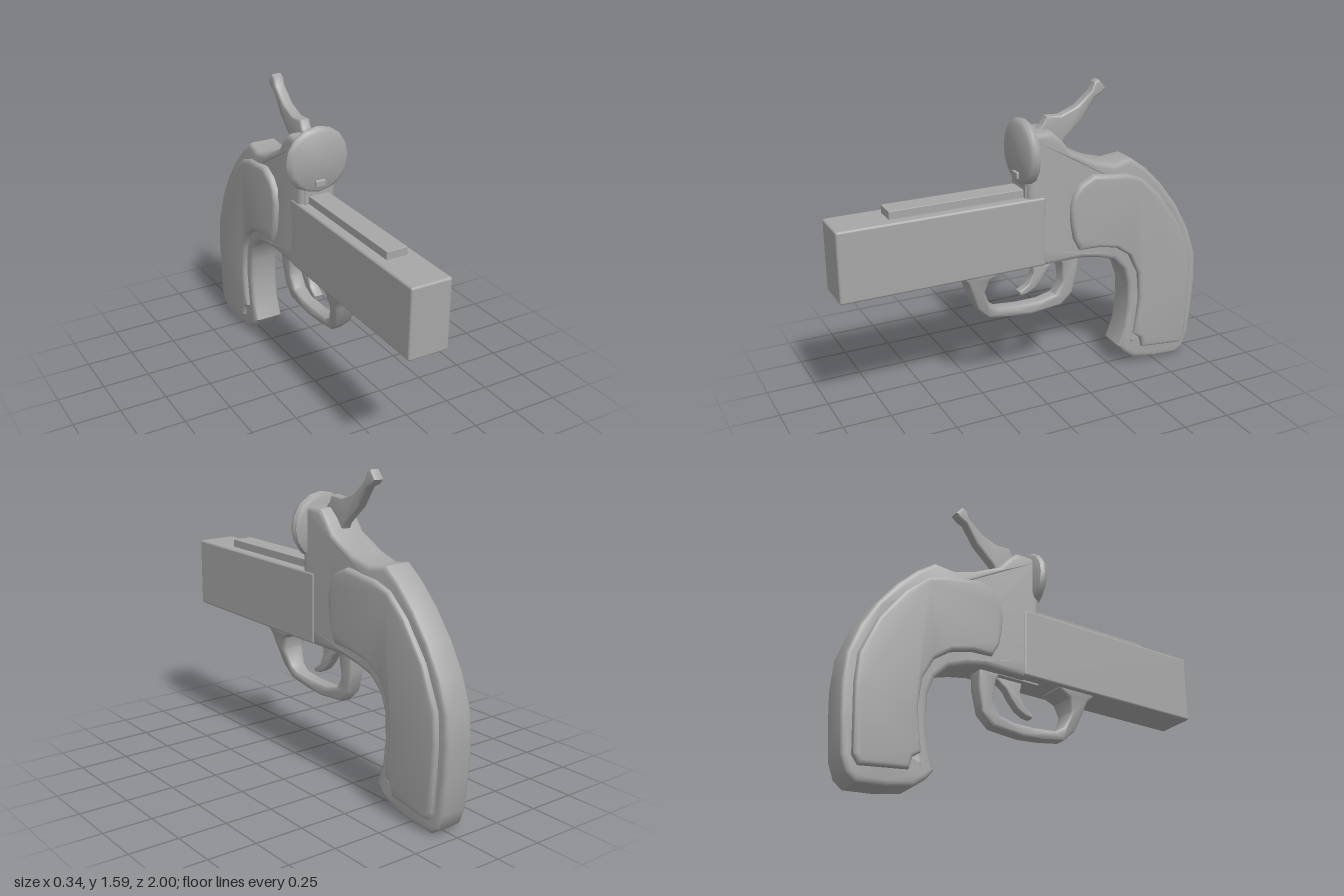
import * as THREE from 'three';
import { toCreasedNormals } from 'three/addons/utils/BufferGeometryUtils.js';
import { RoundedBoxGeometry } from 'three/addons/geometries/RoundedBoxGeometry.js';

const grey = new THREE.MeshStandardMaterial({ color: 0xa6a6a6 });
grey.name = 'grey metal';

const smooth = THREE.MathUtils.smoothstep;
const lerp = THREE.MathUtils.lerp;

// Extrudes a side profile of [z, y] points to a width along x, with rounded rims.
// halfWidth(z, y), if given, sets the local half width.
function profile(name, points, half, bevel, { hole, halfWidth, crease = 0.7 } = {}) {
  const shape = new THREE.Shape(points.map(([z, y]) => new THREE.Vector2(z, y)));
  if (hole) {
    const path = new THREE.Path();
    path.absarc(hole[0], hole[1], hole[2], 0, Math.PI * 2, true);
    shape.holes.push(path);
  }
  const depth = 2 * (half - bevel);
  const geo = new THREE.ExtrudeGeometry(shape, {
    depth, curveSegments: 8, bevelEnabled: true, bevelSize: bevel,
    bevelThickness: bevel, bevelOffset: -bevel, bevelSegments: 3,
  });
  geo.translate(0, 0, -depth / 2);
  geo.rotateY(-Math.PI / 2);
  if (halfWidth) {
    const p = geo.attributes.position;
    for (let i = 0; i < p.count; i++) {
      p.setX(i, p.getX(i) * halfWidth(p.getZ(i), p.getY(i)) / half);
    }
  }
  const mesh = new THREE.Mesh(toCreasedNormals(geo, crease), grey);
  mesh.name = name;
  return mesh;
}

function box(name, w, h, d, x, y, z, radius = 0.008) {
  const mesh = new THREE.Mesh(new RoundedBoxGeometry(w, h, d, 2, radius), grey);
  mesh.name = name;
  mesh.position.set(x, y, z);
  return mesh;
}

export function createModel() {
  const model = new THREE.Group();
  model.name = 'flarePistol';

  // Square barrel and the raised rib on it
  model.add(box('barrel', 0.21, 0.36, 1.06, 0, 0.885, 0.47, 0.012));
  model.add(box('barrelRib', 0.11, 0.06, 0.7, 0, 1.075, 0.38, 0.003));

  // Receiver and curved grip in one piece, narrower towards the back
  model.add(profile('frame', [
    [0.035, 1.14], [0.03, 1.0], [0.02, 0.87], [0.0, 0.78], [-0.04, 0.7],
    [-0.28, 0.7], [-0.38, 0.68], [-0.47, 0.65], [-0.54, 0.58], [-0.57, 0.49],
    [-0.575, 0.36], [-0.56, 0.23], [-0.525, 0.13], [-0.56, 0.085], [-0.62, 0.04],
    [-0.75, 0.015], [-0.9, 0.005], [-0.945, 0.04], [-0.975, 0.12], [-0.99, 0.3],
    [-0.997, 0.45], [-0.985, 0.6], [-0.93, 0.75], [-0.85, 0.89], [-0.75, 1.02],
    [-0.65, 1.12], [-0.56, 1.185], [-0.46, 1.17], [-0.35, 1.2], [-0.2, 1.275],
    [-0.15, 1.34], [-0.1, 1.385], [0.035, 1.385],
  ], 0.1, 0.025, {
    hole: [-0.6, 0.15, 0.03],
    halfWidth: (z) => lerp(0.1, 0.077, smooth(-z, 0.3, 0.65)),
  }));

  // Grip panels, both sides
  model.add(profile('gripPanels', [
    [-0.195, 0.985], [-0.2, 0.9], [-0.215, 0.82], [-0.25, 0.755], [-0.36, 0.75],
    [-0.47, 0.725], [-0.555, 0.665], [-0.615, 0.55], [-0.63, 0.4], [-0.615, 0.27],
    [-0.605, 0.195], [-0.645, 0.165], [-0.66, 0.107], [-0.9, 0.08], [-0.93, 0.12],
    [-0.945, 0.45], [-0.935, 0.6], [-0.85, 0.8], [-0.725, 0.975], [-0.61, 1.08],
    [-0.515, 1.115], [-0.325, 1.14], [-0.25, 1.105], [-0.21, 1.05],
  ], 0.125, 0.02, {
    halfWidth: (z) => lerp(0.125, 0.104, smooth(-z, 0.3, 0.65)),
  }));

  // Round shield at the breech
  const rim = [[0, -0.03], [0.14, -0.03], [0.162, -0.02], [0.17, 0], [0.162, 0.018], [0.145, 0.028], [0, 0.03]];
  const discGeo = new THREE.LatheGeometry(rim.map(([r, y]) => new THREE.Vector2(r, y)), 16);
  discGeo.rotateX(Math.PI / 2);
  const disc = new THREE.Mesh(toCreasedNormals(discGeo.toNonIndexed(), 0.7), grey);
  disc.name = 'breechDisc';
  disc.position.set(0, 1.278, 0.02);
  model.add(disc);
  model.add(box('discCatch', 0.055, 0.035, 0.03, 0, 1.167, 0.047, 0.005));
  model.add(box('breechNeck', 0.16, 0.12, 0.05, 0, 1.12, 0.015, 0.01));

  // Hammer with its thumb spur
  model.add(profile('hammer', [
    [-0.06, 1.385], [-0.085, 1.41], [-0.1, 1.445], [-0.18, 1.44], [-0.27, 1.475], [-0.35, 1.545],
    [-0.365, 1.585], [-0.39, 1.595], [-0.425, 1.55], [-0.4, 1.525], [-0.365, 1.51],
    [-0.3, 1.41], [-0.2, 1.32], [-0.16, 1.24], [-0.06, 1.24],
  ], 0.028, 0.01));

  // Trigger guard, flared where it meets the barrel
  model.add(profile('triggerGuard', [
    [0.39, 0.72], [0.39, 0.705], [0.35, 0.67], [0.33, 0.62], [0.285, 0.505], [0.22, 0.445],
    [0.1, 0.425], [-0.02, 0.415], [-0.19, 0.43], [-0.255, 0.49], [-0.28, 0.61], [-0.285, 0.72],
    [-0.155, 0.72], [-0.185, 0.665], [-0.195, 0.56], [-0.155, 0.495], [-0.07, 0.475],
    [0.05, 0.475], [0.17, 0.485], [0.215, 0.515], [0.25, 0.6], [0.23, 0.665], [0.16, 0.7], [0.16, 0.72],
  ], 0.04, 0.015, {
    halfWidth: (z, y) => 0.037 + (z > 0.1 ? 0.045 * smooth(y, 0.43, 0.73) : 0.012 * smooth(y, 0.5, 0.7)),
  }));

  // Trigger and the plate it swings from
  model.add(profile('trigger', [
    [-0.02, 0.72], [-0.035, 0.64], [-0.005, 0.575], [0.045, 0.545], [0.038, 0.525],
    [0.0, 0.53], [-0.045, 0.555], [-0.085, 0.6], [-0.115, 0.645], [-0.17, 0.685], [-0.17, 0.72],
  ], 0.025, 0.007));
  model.add(box('triggerPlate', 0.1, 0.03, 0.24, 0, 0.709, -0.06, 0.005));

  return model;
}
